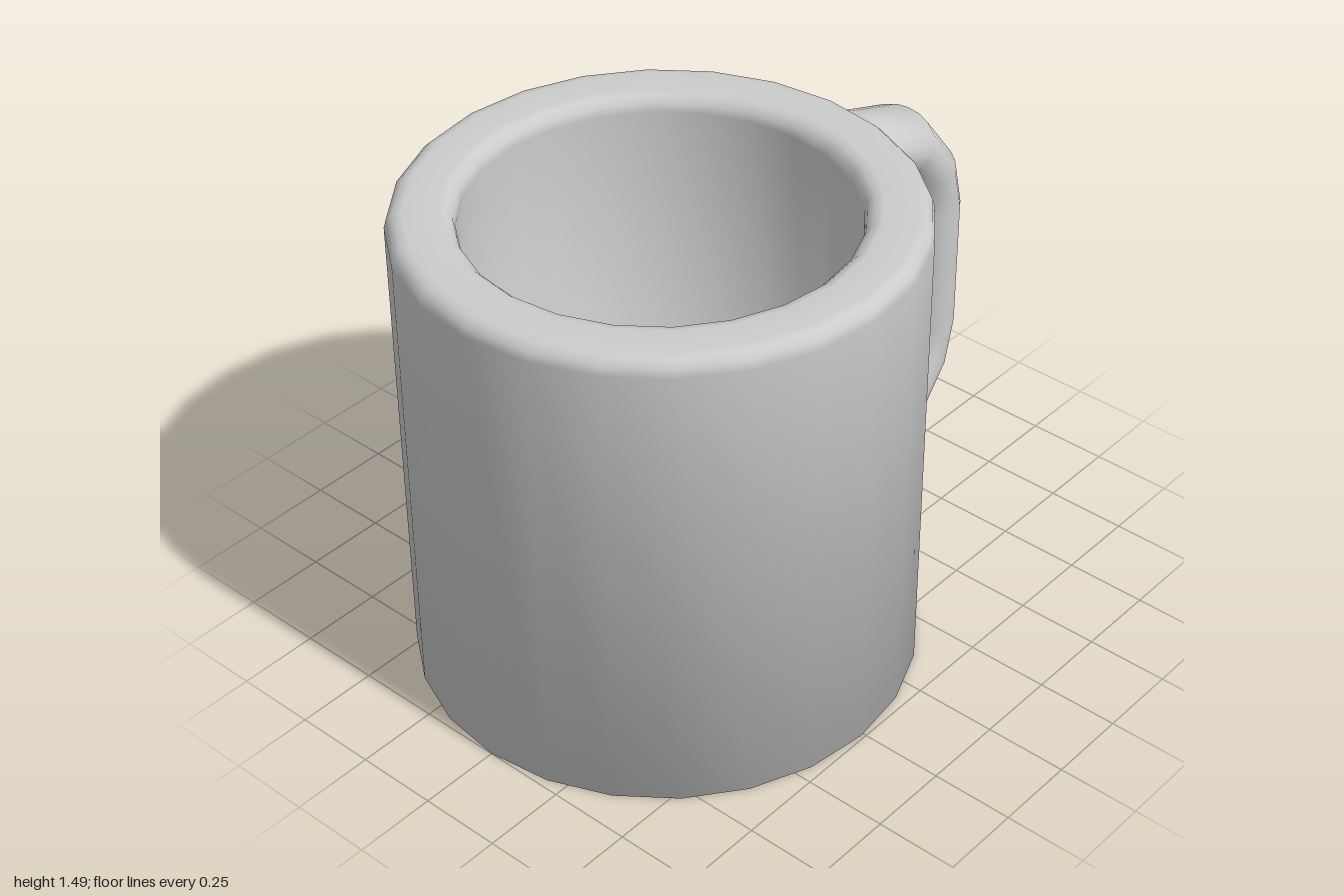
import * as THREE from 'three';

const material = new THREE.MeshStandardMaterial({ color: 0xcccccc });

// Cup: one closed profile, turned, with rounded rim edges
function createCup() {
  const R = 0.74, r = 0.55, H = 1.485, bevel = 0.05, floor = 0.19;
  const profile = [new THREE.Vector2(0, 0), new THREE.Vector2(R, 0)];
  const arc = (cx, from, to) => {
    for (let i = 0; i <= 3; i++) {
      const a = from + (to - from) * i / 3;
      profile.push(new THREE.Vector2(cx + bevel * Math.cos(a), H - bevel + bevel * Math.sin(a)));
    }
  };
  arc(R - bevel, 0, Math.PI / 2);
  arc(r + bevel, Math.PI / 2, Math.PI);
  profile.push(new THREE.Vector2(r, floor), new THREE.Vector2(0, floor));
  const cup = new THREE.Mesh(new THREE.LatheGeometry(profile, 24), material);
  cup.name = 'cup';
  cup.position.x = -0.26;
  return cup;
}

// Handle: elliptical rings swept between an outer and an inner outline
function createHandle() {
  const midY = 0.745, halfWidth = 0.14, sides = 20;
  // outer x, outer y, inner x, inner y, with y measured from the middle
  const upper = [
    [0.40, 0.615, 0.40, 0.415],
    [0.615, 0.615, 0.615, 0.415],
    [0.825, 0.545, 0.70, 0.382],
    [0.955, 0.38, 0.768, 0.295],
    [0.995, 0.205, 0.795, 0.205],
  ];
  const lower = upper.map(([ox, oy, ix, iy]) => [ox, -oy, ix, -iy]).reverse();
  const rings = [...upper, ...lower];
  const positions = [], indices = [];
  rings.forEach(([ox, oy, ix, iy], j) => {
    for (let i = 0; i < sides; i++) {
      const a = i / sides * Math.PI * 2, c = Math.cos(a) / 2;
      positions.push((ox + ix) / 2 + (ox - ix) * c, midY + (oy + iy) / 2 + (oy - iy) * c, halfWidth * Math.sin(a));
      if (j === 0) continue;
      const k = (i + 1) % sides, p = (j - 1) * sides, q = j * sides;
      indices.push(p + i, p + k, q + i, p + k, q + k, q + i);
    }
  });
  const geometry = new THREE.BufferGeometry();
  geometry.setAttribute('position', new THREE.Float32BufferAttribute(positions, 3));
  geometry.setIndex(indices);
  geometry.computeVertexNormals();
  const handle = new THREE.Mesh(geometry, material);
  handle.name = 'handle';
  return handle;
}

export function createModel() {
  const mug = new THREE.Group();
  mug.name = 'mug';
  mug.add(createCup(), createHandle());
  return mug;
}
